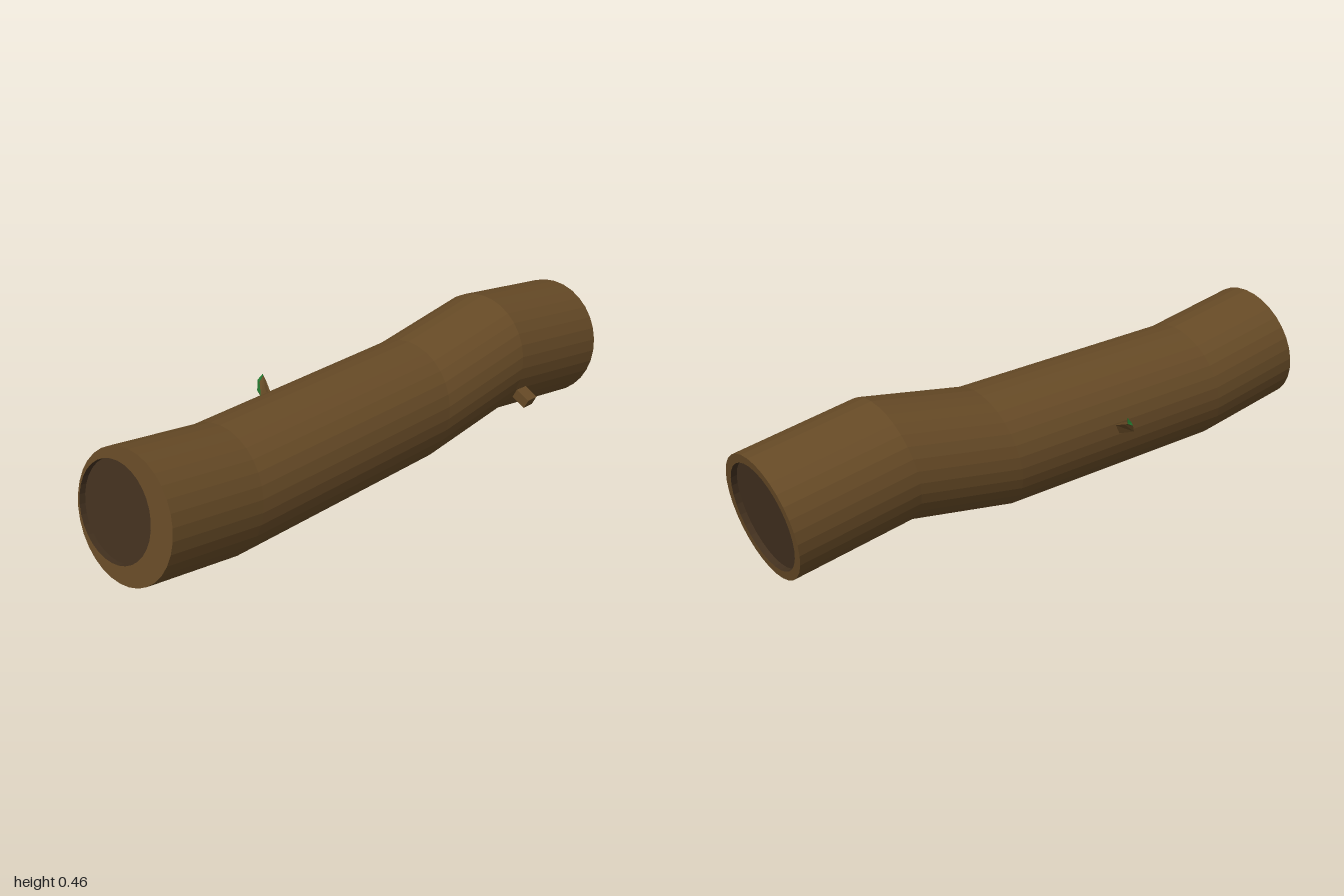
import * as THREE from 'three';

const SIDES = 32, TILT = 0.15;
const material = (color) => new THREE.MeshStandardMaterial({ color, flatShading: true, side: THREE.DoubleSide });
const bark = material(0x664a26);
const hollow = material(0x43311f);
const moss = material(0x267a30);

// Tilted circle of points around a centre; shift moves it along the log's axis
function ring([x, y, z], r, shift = 0) {
  const c = Math.cos(TILT), s = Math.sin(TILT);
  return Array.from({ length: SIDES }, (_, i) => {
    const a = (i / SIDES) * Math.PI * 2, v = Math.sin(a) * r;
    return [x + Math.cos(a) * r, y + v * c + shift * s, z - v * s + shift * c];
  });
}

// Flat-shaded mesh from a list of four-cornered faces
function quads(name, faces, mat) {
  const pos = faces.flatMap(([a, b, c, d]) => [a, b, c, a, c, d]).flat();
  const geo = new THREE.BufferGeometry();
  geo.setAttribute('position', new THREE.Float32BufferAttribute(pos, 3));
  geo.computeVertexNormals();
  const mesh = new THREE.Mesh(geo, mat);
  mesh.name = name;
  return mesh;
}

// Faces joining successive loops of points
function loft(loops) {
  const faces = [];
  for (let k = 0; k + 1 < loops.length; k++) {
    const p = loops[k], q = loops[k + 1], n = p.length;
    for (let i = 0; i < n; i++) faces.push([p[i], q[i], q[(i + 1) % n], p[(i + 1) % n]]);
  }
  return faces;
}

export function createModel() {
  const log = new THREE.Group();
  log.name = 'log';

  // Bent trunk with a rim at each end
  const centres = [
    [0.045, 0.259, 0.97], [0.04, 0.207, 0.63], [0.035, 0.207, -0.2],
    [0.05, 0.268, -0.56], [0.053, 0.207, -0.97],
  ];
  const frontHole = [0.004, 0.259, 0.97], backHole = centres[4];
  const fr = 0.153, br = 0.173, depth = 0.02;
  log.add(quads('trunk', loft([
    ring(frontHole, fr),
    ...centres.map((c) => ring(c, 0.201)),
    ring(backHole, br),
  ]), bark));

  // Shallow dark hollows in the ends
  log.add(quads('frontHollow', loft([
    ring(frontHole, 0, -depth), ring(frontHole, fr, -depth), ring(frontHole, fr),
  ]), hollow));
  log.add(quads('backHollow', loft([
    ring(backHole, br), ring(backHole, br, depth), ring(backHole, 0, depth),
  ]), hollow));

  // Bent twig on the right side, mossy at its tip
  const base = [[-0.15, 0.202, 0.22], [-0.15, 0.237, 0.205], [-0.15, 0.237, 0.18], [-0.15, 0.202, 0.195]];
  const elbow = [[-0.245, 0.258, 0.165], [-0.243, 0.292, 0.15], [-0.262, 0.297, 0.125], [-0.272, 0.268, 0.155]];
  const tip = [[-0.265, 0.298, 0.15], [-0.262, 0.318, 0.135], [-0.284, 0.31, 0.118], [-0.284, 0.297, 0.14]];
  const sides = loft([base, elbow, tip]);
  log.add(quads('twig', sides.slice(0, 7), bark));
  log.add(quads('twigMoss', [sides[7], tip], moss));

  // Broken stub on the left side
  const stub = new THREE.Mesh(new THREE.BoxGeometry(0.06, 0.036, 0.045), bark);
  stub.name = 'stub';
  stub.position.set(0.248, 0.16, -0.58);
  stub.rotation.z = -0.5;
  log.add(stub);

  return log;
}
